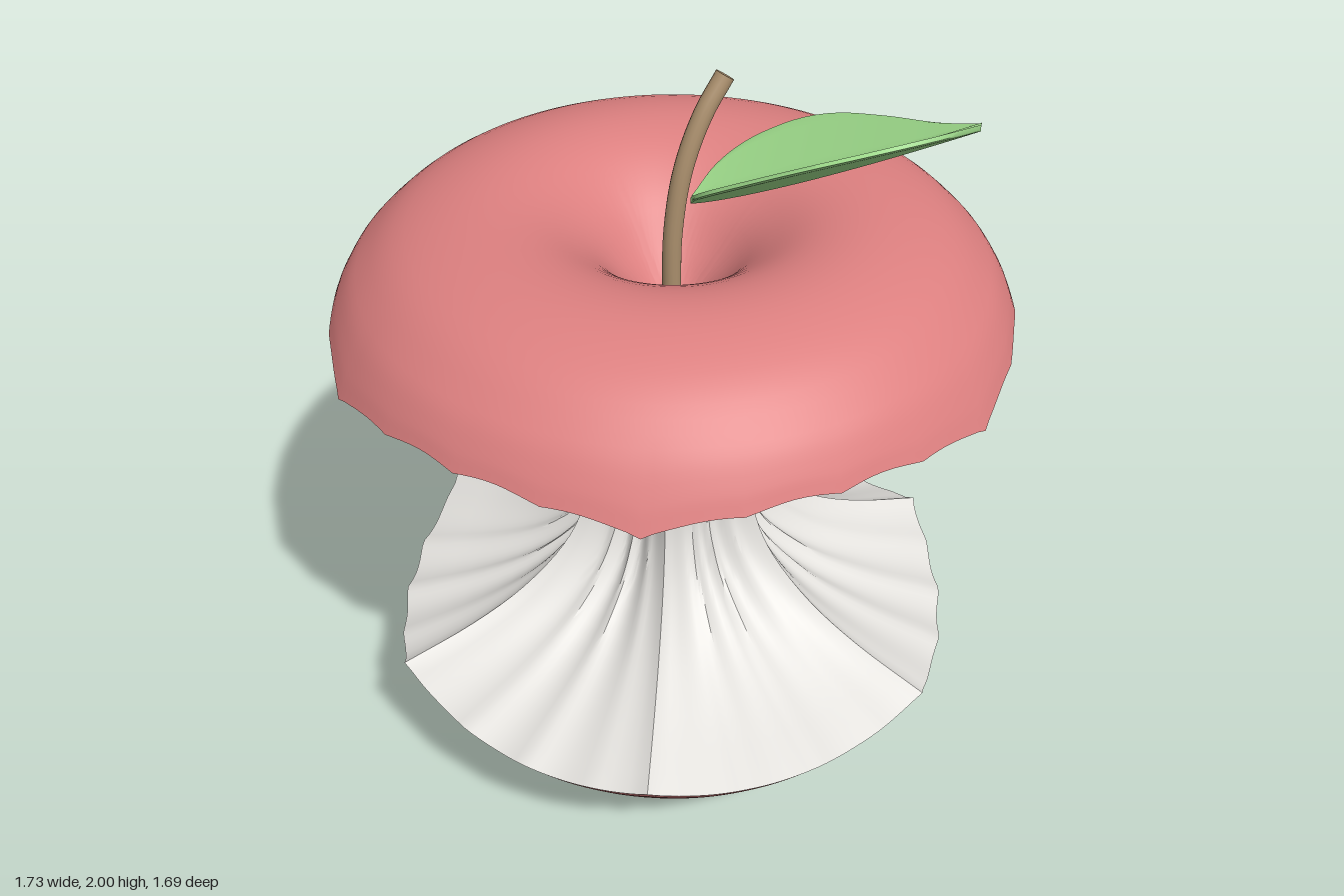
import * as THREE from 'three';
import { toCreasedNormals } from 'three/addons/utils/BufferGeometryUtils.js';

const mat = (name, color) => Object.assign(new THREE.MeshStandardMaterial({ color }), { name });
const clamp = THREE.MathUtils.clamp;

// Grid surface from fn(u, v) -> [x, y, z], u and v in 0..1, with creased normals
function surface(fn, nu, nv, crease) {
  const pos = [], index = [];
  for (let i = 0; i <= nu; i++)
    for (let j = 0; j <= nv; j++) pos.push(...fn(i / nu, j / nv));
  for (let i = 0; i < nu; i++)
    for (let j = 0; j < nv; j++) {
      const a = i * (nv + 1) + j, c = a + nv + 1;
      index.push(a, a + 1, c, a + 1, c + 1, c);
    }
  const geo = new THREE.BufferGeometry();
  geo.setAttribute('position', new THREE.Float32BufferAttribute(pos, 3));
  geo.setIndex(index);
  return toCreasedNormals(geo, crease);
}

const spline = (pts) => new THREE.CatmullRomCurve3(pts.map(([x, y]) => new THREE.Vector3(x, y, 0)), false, 'centripetal');

// Six bites: scallop is 0 on the sharp ridges and 1 in the middle of each bite
const BITES = 6, FIRST_RIDGE = THREE.MathUtils.degToRad(7);
const angle = (u) => FIRST_RIDGE + (u % 1) * Math.PI * 2;
function bite(u) {
  const s = 2 * ((u * BITES) % 1) - 1;
  return 1 - s * s;
}
// Small tooth marks inside each bite
const teeth = (u, shift = 0) => bite(u) * (Math.abs(Math.sin(Math.PI * (u * BITES * 4 + shift))) - 0.5);

// Edges where the skin has been bitten off
const TOP = { r: 0.872, y: 1.365, slope: -0.5 }, LOW = { r: 0.8, y: 0.455, slope: 0.75 };
const topDy = (u) => 0.05 * Math.pow(bite(u), 0.7) + 0.014 * teeth(u);
const lowDy = (u) => -0.058 * Math.pow(bite(u), 0.7) - 0.014 * teeth(u, 0.3);
const ring = (u, r, y) => [r * Math.cos(angle(u)), y, r * Math.sin(angle(u))];

// Skin shell: a turned profile whose rim follows the bite edge
function skin(profile, rim, dyFn, rimAtEnd) {
  const curve = spline(profile);
  return surface((u, v) => {
    const p = curve.getPoint(v);
    const w = clamp(1 - 4 * (rimAtEnd ? 1 - v : v), 0, 1), dy = dyFn(u % 1) * w;
    return ring(u, Math.max(0, p.x + dy * rim.slope), p.y + dy);
  }, 192, 40, 1);
}

// Flesh: fractions of [radius, height] from the waist out to each rim
const WAIST = { r: 0.235, y: 0.99 };
const lowCurve = spline([[0, 0], [0.025, 0.12], [0.06, 0.35], [0.16, 0.54], [0.375, 0.74], [0.64, 0.88], [1, 1]]);
const topCurve = spline([[0, 0], [0.05, 0.17], [0.19, 0.43], [0.42, 0.7], [0.73, 0.92], [1, 1]]);
function flesh(u0, v) {
  const u = u0 % 1, t = v * 2 - 1, upper = t > 0, k = Math.abs(t);
  const rim = upper ? TOP : LOW, dy = upper ? topDy(u) : lowDy(u);
  const f = (upper ? topCurve : lowCurve).getPoint(k);
  const mid = Math.sin(Math.PI * k), hollow = bite(u);
  const wr = WAIST.r * (1 - 0.19 * hollow);
  const r = wr + (rim.r + dy * rim.slope - wr) * f.x - mid * (0.035 * hollow + 0.018 * teeth(u, k * 0.6));
  const y = WAIST.y + (rim.y + dy - WAIST.y) * f.y;
  return ring(u0, r, y);
}

// Leaf: folded along the midrib, one half raised more than the other
const halfWidth = spline([[0, 0.012], [0.05, 0.11], [0.14, 0.18], [0.3, 0.22], [0.45, 0.21], [0.65, 0.145], [0.85, 0.06], [1, 0.006]]);
function leaf(u, v) {
  const p = halfWidth.getPoint(u), top = v < 0.5;
  const q = top ? v * 2 : 2 - v * 2;             // 0 right edge, 1 left edge
  const s = 1 - 2 * q, lat = s * p.y;
  const thick = 0.008 * (Math.abs(s) > 0.99 ? 0.6 : 1) * (top ? 1 : -1);
  const rise = s < 0 ? -lat * 0.63 : lat * 0.25;
  const rib = top ? 0.006 * Math.max(0, 1 - Math.abs(s) * 6) : 0;
  const d = Math.SQRT1_2;
  return [
    0.04 + 0.48 * p.x + lat * d,
    1.68 + 0.265 * Math.pow(p.x, 1.2) + rise + thick + rib,
    0.02 + 0.46 * p.x - lat * d,
  ];
}

export function createModel() {
  const red = mat('skin red', 0xdd8080), cream = mat('flesh white', 0xe4e2de);
  const green = mat('leaf green', 0x9bd688), brown = mat('stem brown', 0xa98e6c);
  const group = new THREE.Group();
  group.name = 'appleCore';
  const add = (name, geo, material) => {
    const mesh = new THREE.Mesh(geo, material);
    mesh.name = name;
    group.add(mesh);
    return mesh;
  };

  // Skin above and below the bites
  add('upperSkin', skin([
    [TOP.r, TOP.y], [0.84, 1.435], [0.78, 1.53], [0.67, 1.625], [0.5, 1.675], [0.35, 1.658],
    [0.22, 1.58], [0.12, 1.47], [0.05, 1.4], [0, 1.385],
  ], TOP, topDy, false), red);
  add('lowerSkin', skin([
    [0, 0.075], [0.06, 0.05], [0.14, 0.012], [0.23, 0], [0.36, 0.04], [0.5, 0.13], [0.63, 0.245], [0.74, 0.375], [LOW.r, LOW.y],
  ], LOW, lowDy, true), red);

  // Bitten flesh
  add('flesh', surface(flesh, 192, 48, 0.55), cream);

  // Curved stem with a flat tip
  const path = new THREE.CatmullRomCurve3([
    [-0.01, 1.37, 0.01], [-0.008, 1.6, 0.012], [0.02, 1.77, 0.014], [0.075, 1.9, 0.014], [0.135, 1.985, 0.014],
  ].map((p) => new THREE.Vector3(...p)));
  add('stem', new THREE.TubeGeometry(path, 24, 0.024, 16), brown);
  const tip = add('stemTip', new THREE.CircleGeometry(0.024, 16), brown);
  tip.position.copy(path.getPoint(1));
  tip.lookAt(path.getPoint(1).add(path.getTangent(1)));

  // Leaf
  add('leaf', surface(leaf, 32, 48, 0.7), green);
  return group;
}
